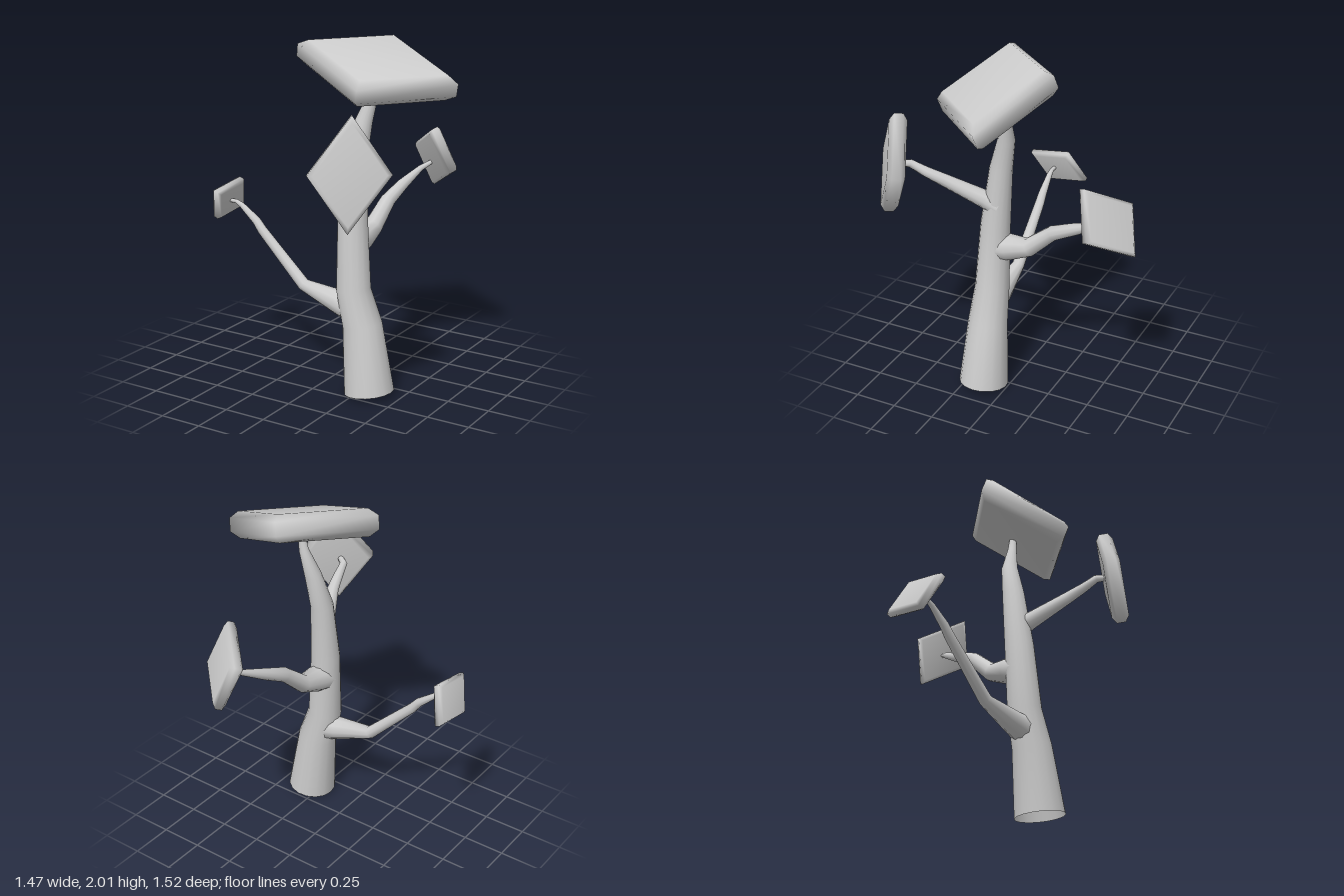
import * as THREE from 'three';

const material = new THREE.MeshStandardMaterial({ color: 0xcccccc, side: THREE.DoubleSide });
const vec = (p) => new THREE.Vector3(...p);

// Joins equal-sized rings of points, counter-clockwise about the direction of travel.
function loft(name, rings, capped) {
  const n = rings[0].length;
  const index = [];
  for (let i = 0; i < rings.length - 1; i++) {
    for (let j = 0; j < n; j++) {
      const a = i * n + j, b = i * n + (j + 1) % n;
      index.push(a, b, b + n, a, b + n, a + n);
    }
  }
  if (capped) {
    const top = (rings.length - 1) * n;
    for (let j = 1; j < n - 1; j++) {
      index.push(0, j + 1, j, top, top + j, top + j + 1);
    }
  }
  const geometry = new THREE.BufferGeometry().setFromPoints(rings.flat());
  geometry.setIndex(index);
  geometry.computeVertexNormals();
  const mesh = new THREE.Mesh(geometry, material);
  mesh.name = name;
  return mesh;
}

// Tapering limb through points [x, y, z, radius].
function limb(name, points, reference, sides) {
  const centres = points.map(([x, y, z]) => vec([x, y, z]));
  const rings = centres.map((c, i) => {
    const before = centres[Math.max(i - 1, 0)];
    const after = centres[Math.min(i + 1, centres.length - 1)];
    const t = after.clone().sub(before).normalize();
    const u = vec(reference).cross(t).normalize();
    const v = t.clone().cross(u);
    return Array.from({ length: sides }, (_, j) => {
      const angle = (j / sides) * Math.PI * 2;
      return c.clone()
        .addScaledVector(u, Math.cos(angle) * points[i][3])
        .addScaledVector(v, Math.sin(angle) * points[i][3]);
    });
  });
  return loft(name, rings, false);
}

// Bevelled slab of foliage on a parallelogram given by three corners (b is between a and c).
function foliage(name, a, b, c, thickness) {
  const A = vec(a), B = vec(b), C = vec(c);
  const D = A.clone().add(C).sub(B);
  const centre = A.clone().add(C).multiplyScalar(0.5);
  const normal = B.clone().sub(A).cross(D.clone().sub(A)).normalize();
  const profile = [[-0.5, 0.86], [-0.25, 0.99], [0.25, 0.99], [0.5, 0.86]];
  const rings = profile.map(([h, s]) => [A, B, C, D].map((p) =>
    p.clone().sub(centre).multiplyScalar(s).add(centre).addScaledVector(normal, h * thickness)));
  return loft(name, rings, true);
}

export function createModel() {
  const tree = new THREE.Group();
  tree.name = 'tree';

  // Leaning trunk, open at the base
  tree.add(limb('trunk', [
    [0.315, 0.005, 0.142, 0.145], [0.264, 0.4, 0.135, 0.115], [0.205, 0.6, 0.135, 0.1],
    [0.187, 1.0, 0.117, 0.086], [0.183, 1.35, 0.08, 0.066], [0.207, 1.55, 0.032, 0.049],
    [0.255, 1.7, 0.012, 0.028], [0.27, 1.8, 0.01, 0.02],
  ], [0, 0, 1], 16));

  // Branches
  const up = [0, 1, 0];
  tree.add(limb('rightBranch', [
    [0.2, 0.485, 0.135, 0.085], [0.1, 0.505, 0.135, 0.07], [-0.13, 0.565, 0.135, 0.038],
    [-0.42, 0.85, 0.133, 0.029], [-0.46, 0.9, 0.132, 0.026], [-0.56, 0.98, 0.135, 0.017],
    [-0.6, 1.0, 0.136, 0.013], [-0.66, 1.0, 0.136, 0.01],
  ], up, 10));
  tree.add(limb('backBranch', [
    [0.19, 0.86, 0.11, 0.085], [0.19, 0.875, 0.03, 0.078], [0.193, 0.905, -0.1, 0.054],
    [0.207, 1.035, -0.25, 0.043], [0.225, 1.1, -0.39, 0.034], [0.262, 1.17, -0.54, 0.018],
    [0.3, 1.2, -0.6, 0.013],
  ], up, 10));
  tree.add(limb('frontBranch', [
    [0.2, 1.13, 0.09, 0.065], [0.225, 1.165, 0.17, 0.052], [0.32, 1.28, 0.37, 0.036],
    [0.35, 1.325, 0.47, 0.029], [0.37, 1.365, 0.55, 0.023], [0.44, 1.385, 0.6, 0.015],
  ], up, 10));

  // Foliage slabs
  tree.add(foliage('crownFoliage',
    [-0.16, 1.93, 0.15], [0.35, 1.74, 0.365], [0.735, 1.75, -0.06], 0.155));
  tree.add(foliage('frontFoliage',
    [0.275, 1.39, 0.73], [0.47, 1.085, 0.645], [0.64, 1.39, 0.475], 0.1));
  tree.add(foliage('backFoliage',
    [0.375, 1.435, -0.49], [0.165, 1.3, -0.69], [0.265, 1.035, -0.755], 0.08));
  tree.add(foliage('rightFoliage',
    [-0.635, 1.085, 0.29], [-0.625, 1.12, 0.04], [-0.7, 0.93, -0.055], 0.06));

  return tree;
}
